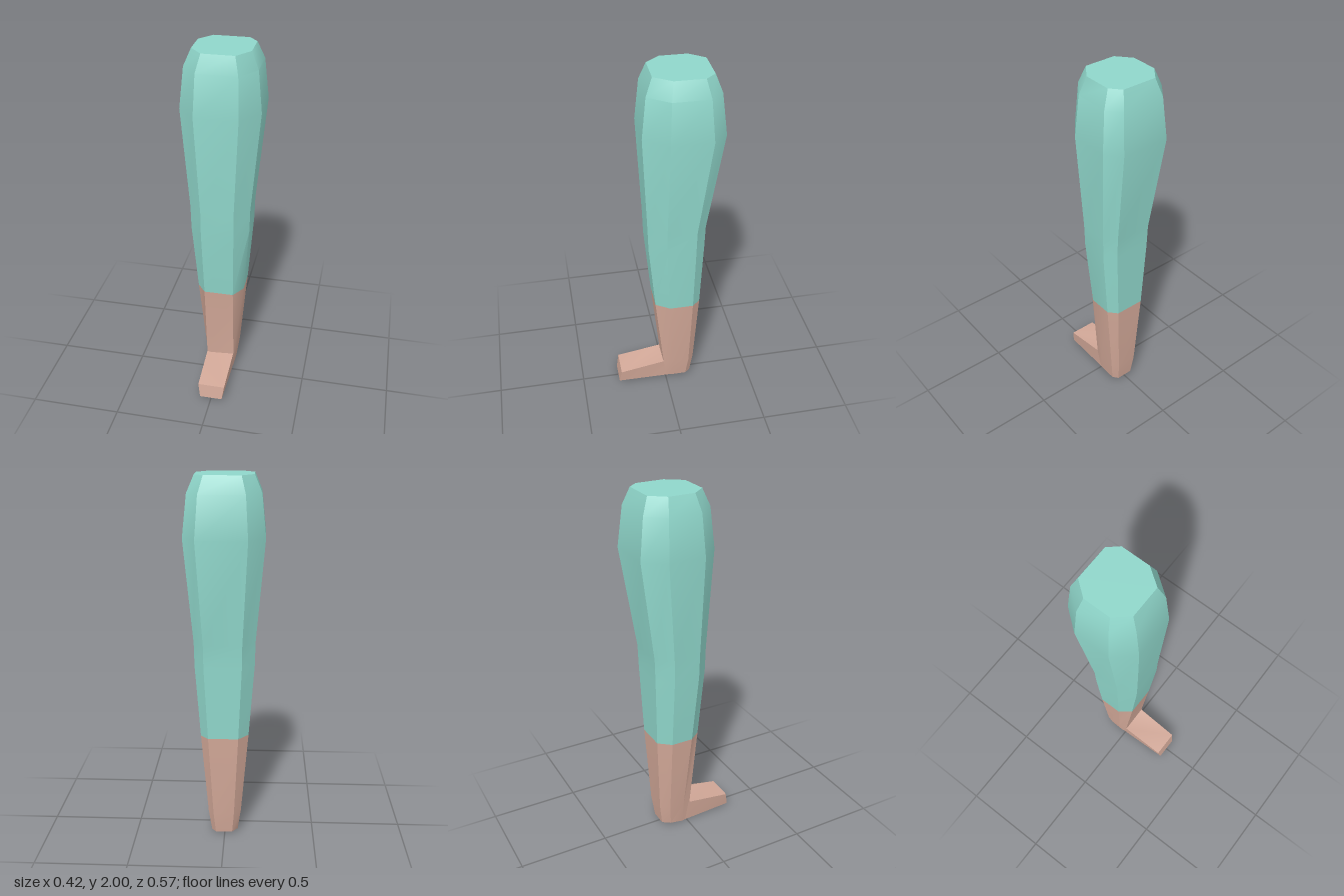
import * as THREE from 'three';
import { toCreasedNormals } from 'three/addons/utils/BufferGeometryUtils.js';

// Eight-sided section: height, half width, front z, back z, front flat as a fraction of the half width
function ring([y, w, zf, zb, f]) {
  const d = zf - zb;
  return [
    [f * w, y, zf], [w, y, zf - 0.3 * d], [w, y, zb + 0.18 * d], [0.68 * w, y, zb],
    [-0.58 * w, y, zb], [-w, y, zb + 0.265 * d], [-w, y, zf - 0.25 * d], [-f * w, y, zf],
  ];
}

// Skin a stack of sections (top to bottom) and optionally close its ends
function loft(rings, capFirst, capLast) {
  const pos = [];
  const tri = (a, b, c) => pos.push(...a, ...b, ...c);
  const n = rings[0].length;
  for (let r = 0; r < rings.length - 1; r++) {
    const a = rings[r], b = rings[r + 1];
    for (let i = 0; i < n; i++) {
      const j = (i + 1) % n;
      tri(a[i], a[j], b[i]);
      tri(a[j], b[j], b[i]);
    }
  }
  const last = rings[rings.length - 1];
  for (let i = 1; i < n - 1; i++) {
    if (capFirst) tri(rings[0][0], rings[0][i], rings[0][i + 1]);
    if (capLast) tri(last[0], last[i + 1], last[i]);
  }
  const g = new THREE.BufferGeometry();
  g.setAttribute('position', new THREE.Float32BufferAttribute(pos, 3));
  // Faces keep their counter-clockwise order seen from outside
  return toCreasedNormals(g, 0.6);
}

export function createModel() {
  const group = new THREE.Group();
  const cloth = new THREE.MeshStandardMaterial({ color: 0x8fd6ca, side: THREE.DoubleSide });
  const skin = new THREE.MeshStandardMaterial({ color: 0xd2a898, side: THREE.DoubleSide });
  const add = (name, geometry, material) => {
    const mesh = new THREE.Mesh(geometry, material);
    mesh.name = name;
    group.add(mesh);
  };

  // Trouser leg: rounded hip, thigh, knee, hem
  const hem = [0.6, 0.13, 0.063, -0.19, 0.63];
  add('trouserLeg', loft([
    [2, 0.15, 0.072, -0.229, 0.57],
    [1.91, 0.188, 0.107, -0.263, 0.57],
    [1.69, 0.21, 0.13, -0.288, 0.55],
    [1.13, 0.163, 0.104, -0.207, 0.55],
    [1.0, 0.16, 0.1, -0.203, 0.56],
    hem,
  ].map(ring), true, false), cloth);

  // Bare shin tapering to the heel, with a slightly dipped sole
  const heel = ring([0.013, 0.073, 0.012, -0.15, 0.92]);
  heel[6][1] = 0;
  heel[7][1] = 0.004;
  add('shin', loft([hem, [0.14, 0.091, 0.015, -0.167, 0.88]].map(ring).concat([heel]), false, true), skin);

  // Foot: wedge from the instep to the toe, narrower at the sole
  add('foot', loft([
    [[0.08, 0.14, 0.015], [0.08, 0.14, -0.03], [-0.08, 0.128, -0.03], [-0.08, 0.128, 0.015]],
    [[0.07, 0.013, 0.015], [0.07, 0.013, -0.03], [-0.07, 0.002, -0.03], [-0.07, 0.002, 0.015]],
  ].map((s, k) => {
    // Pull the front corners out to the toe
    const toe = k === 0 ? [0.076, 0.09, 0.272] : [0.064, 0.01, 0.285];
    return [toe, s[0], s[1], s[2], s[3], [-toe[0], toe[1], toe[2]]];
  }), true, true), skin);

  return group;
}
